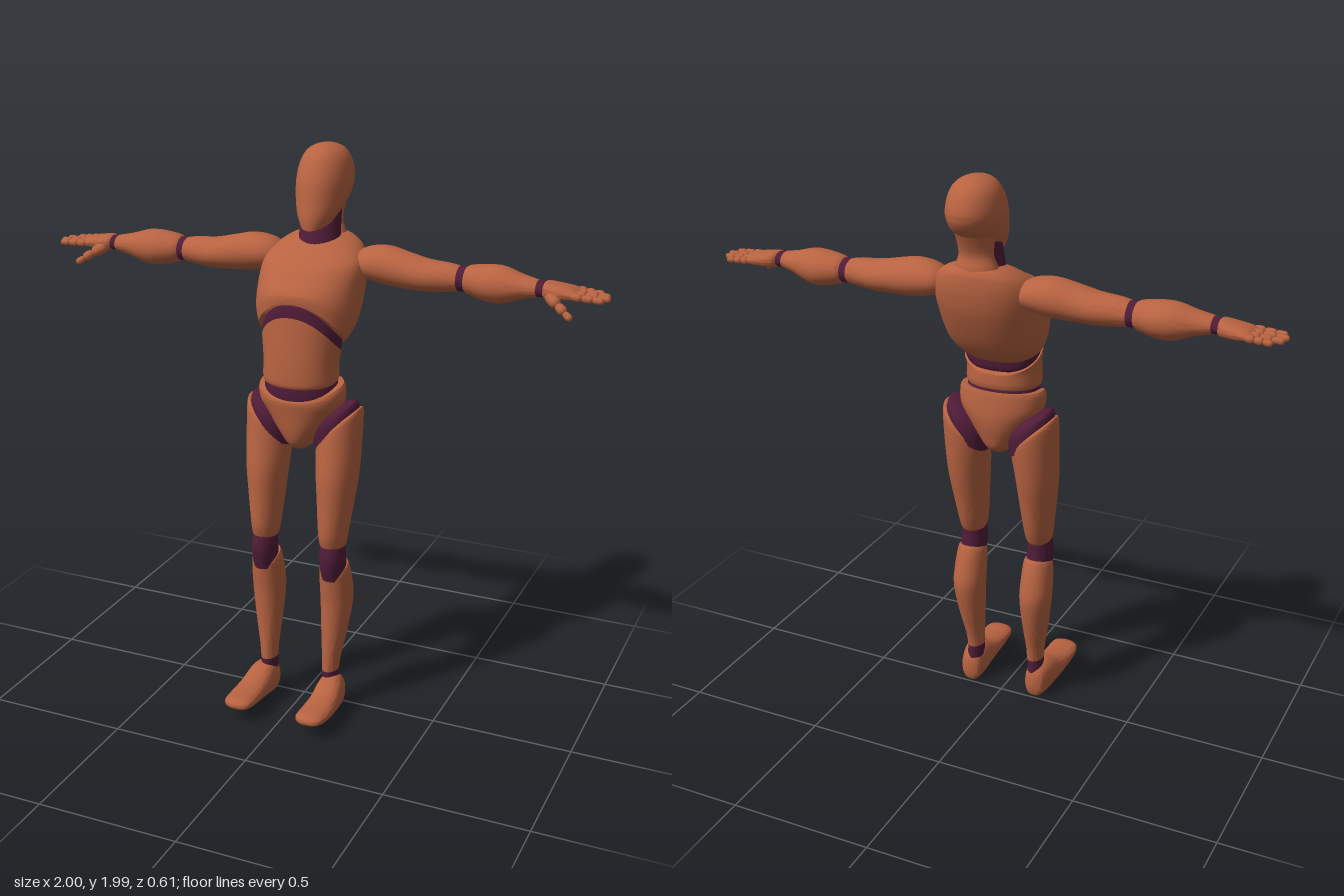
import * as THREE from 'three';
import { toCreasedNormals } from 'three/addons/utils/BufferGeometryUtils.js';

const wood = new THREE.MeshStandardMaterial({ color: 0xb86341 });
wood.name = 'warm brown';
const joint = new THREE.MeshStandardMaterial({ color: 0x501c38 });
joint.name = 'dark plum';

// Smooth loft along +y. Ring: [height, x, z, radiusX, radiusZ, slopeX, slopeZ, frontArch]
function loft(rings, power = 2, seg = 36, sub = 5) {
  const R = rings.map(r => Array.from({ length: 8 }, (_, k) => r[k] || 0));
  if (R[0][0] > R[R.length - 1][0]) R.reverse();
  const fine = [];
  for (let i = 0; i < R.length - 1; i++) {
    const a = R[Math.max(0, i - 1)], b = R[i], c = R[i + 1], d = R[Math.min(R.length - 1, i + 2)];
    for (let s = 0; s < sub; s++) {
      const t = s / sub;
      fine.push(b.map((v, k) => v + 0.5 * t * (c[k] - a[k]
        + t * (2 * a[k] - 5 * v + 4 * c[k] - d[k] + t * (3 * (v - c[k]) + d[k] - a[k])))));
    }
  }
  fine.push(R[R.length - 1]);

  const pos = [], idx = [];
  const round = v => Math.sign(v) * Math.pow(Math.abs(v), 2 / power);
  for (const [h, x, z, a, b, sx, sz, arch] of fine) {
    for (let j = 0; j < seg; j++) {
      const th = j / seg * Math.PI * 2;
      const p = a * round(Math.cos(th)), q = b * round(Math.sin(th));
      const front = Math.max(0, Math.sin(th));
      pos.push(x + p, h + sx * p + sz * q + arch * front * front, z + q);
    }
  }
  const last = fine.length - 1, base = fine.length * seg;
  for (const f of [fine[0], fine[last]]) pos.push(f[1], f[0], f[2]);
  for (let j = 0; j < seg; j++) {
    const k = (j + 1) % seg;
    for (let i = 0; i < last; i++) {
      const a = i * seg + j, b = a + seg, c = i * seg + k, d = c + seg;
      idx.push(a, b, c, b, d, c);
    }
    idx.push(base, j, k, base + 1, last * seg + k, last * seg + j);
  }
  const g = new THREE.BufferGeometry();
  g.setAttribute('position', new THREE.Float32BufferAttribute(pos, 3));
  g.setIndex(idx);
  return toCreasedNormals(g, 0.75);
}

// Loft along +x; rings are [x, y, z, radiusY, radiusZ]
const loftX = (rings, power) =>
  loft(rings.map(([x, y, z, ry, rz]) => [x, -y, z, ry, rz]), power).rotateZ(-Math.PI / 2);

// Loft along +z; rings are [z, x, bottom, top, radiusX]
const loftZ = (rings, power) =>
  loft(rings.map(([z, x, lo, hi, rx]) => [z, x, -(lo + hi) / 2, rx, (hi - lo) / 2]), power).rotateX(Math.PI / 2);

// Rounded finger segment between two points
function bead(from, to, r) {
  const a = new THREE.Vector3(...from), b = new THREE.Vector3(...to), d = b.clone().sub(a);
  const g = new THREE.CapsuleGeometry(r, Math.max(0.001, d.length() - 1.6 * r), 4, 10);
  g.applyQuaternion(new THREE.Quaternion().setFromUnitVectors(new THREE.Vector3(0, 1, 0), d.normalize()));
  g.translate((from[0] + to[0]) / 2, (from[1] + to[1]) / 2, (from[2] + to[2]) / 2);
  return g.toNonIndexed();
}

// Flip a part to the other side in x and restore the outward winding
function mirrored(geo) {
  const g = geo.clone().scale(-1, 1, 1);
  for (const name of ['position', 'normal']) {
    const arr = g.attributes[name].array;
    for (let i = 0; i < arr.length; i += 9)
      for (let k = 0; k < 3; k++) [arr[i + k], arr[i + 6 + k]] = [arr[i + 6 + k], arr[i + k]];
  }
  return g;
}

export function createModel() {
  const model = new THREE.Group();
  model.name = 'mannequin';
  const add = (name, geo, mat) => {
    const m = new THREE.Mesh(geo, mat);
    m.name = name;
    model.add(m);
  };
  const pair = (name, geo, mat) => {
    add(name + 'Left', geo, mat);
    add(name + 'Right', mirrored(geo), mat);
  };

  // Head and neck
  add('head', loft([
    [1.752, 0, -.125, .056, .098, 0, -.3], [1.785, 0, -.138, .074, .112, 0, -.2],
    [1.825, 0, -.16, .087, .125, 0, -.08], [1.88, 0, -.177, .092, .128],
    [1.935, 0, -.182, .082, .107], [1.968, 0, -.182, .062, .08],
    [1.985, 0, -.18, .034, .045], [1.991, 0, -.18, .004, .005]]), wood);
  add('neck', loft([[1.64, 0, -.125, .078, .074], [1.71, 0, -.132, .07, .066],
    [1.785, 0, -.15, .066, .064]]), joint);
  add('nape', loft([[1.64, 0, -.17, .09, .06], [1.69, 0, -.178, .075, .052],
    [1.74, 0, -.183, .06, .037], [1.81, 0, -.19, .068, .06]]), wood);

  // Torso
  add('chest', loft([
    [1.39, 0, .02, .152, .092, 0, .62, .06], [1.45, 0, -.02, .174, .13, 0, .4, .035],
    [1.545, 0, -.065, .18, .149, 0, .17], [1.61, 0, -.098, .176, .138, 0, .07],
    [1.655, 0, -.13, .15, .108, 0, -.05], [1.683, 0, -.145, .11, .084, 0, -.1],
    [1.695, 0, -.15, .07, .055, 0, -.1]], 2.3), wood);
  add('ribJoint', loft([[1.3, 0, .025, .118, .095], [1.365, 0, .02, .135, .094, 0, .6, .06],
    [1.42, 0, .01, .135, .09, 0, .6, .06]], 2.2), joint);
  add('abdomen', loft([
    [1.23, 0, .027, .126, .106, 0, -.06], [1.245, 0, .027, .13, .11, 0, -.04],
    [1.3, 0, .027, .129, .108, 0, .1], [1.35, 0, .023, .137, .1, 0, .6, .055]], 2.2), wood);
  add('waistJoint', loft([[1.14, 0, .02, .125, .098], [1.2, 0, .022, .127, .105],
    [1.25, 0, .024, .118, .1]], 2.2), joint);
  add('pelvis', loft([
    [.99, 0, .015, .03, .055], [1.015, 0, .012, .05, .085], [1.06, 0, .012, .084, .1],
    [1.11, 0, .011, .118, .109], [1.155, 0, .014, .147, .113],
    [1.2, 0, .018, .151, .11, 0, -.1, -.02], [1.218, 0, .018, .144, .106, 0, -.1, -.03]], 2.2), wood);

  // Legs
  pair('hipJoint', loft([[1.04, .122, -.004, .074, .088, .85], [1.095, .114, -.004, .075, .09, .8],
    [1.118, .108, -.004, .06, .072, .7], [1.128, .1, -.004, .03, .04, .6]]), joint);
  pair('thigh', loft([
    [1.08, .127, -.005, .072, .084, .85], [1.066, .129, -.005, .079, .092, .8],
    [1, .13, .002, .078, .094, .4], [.9, .131, .016, .072, .094], [.8, .13, .028, .062, .084],
    [.7, .128, .041, .051, .072], [.655, .128, .045, .046, .059], [.64, .128, .046, .04, .052]]), wood);
  pair('kneeJoint', loft([[.67, .128, .046, .038, .05], [.6, .13, .053, .045, .058],
    [.52, .13, .04, .042, .055]]), joint);
  pair('shin', loft([
    [.565, .13, .038, .047, .052, 0, -.3], [.548, .13, .034, .052, .059, 0, -.25],
    [.49, .131, .021, .056, .068], [.42, .131, .012, .056, .07], [.31, .127, .022, .046, .058],
    [.21, .122, .036, .033, .045], [.155, .12, .041, .029, .041]]), wood);
  pair('ankleJoint', loft([[.1, .122, .04, .029, .04], [.16, .12, .041, .028, .04]]), joint);
  pair('foot', loftZ([
    [-.004, .128, .03, .09, .016], [.008, .129, .006, .118, .035], [.05, .131, .004, .136, .046],
    [.09, .134, .012, .132, .05], [.15, .137, .025, .107, .052], [.22, .138, .04, .096, .054],
    [.275, .137, .052, .094, .05], [.298, .136, .06, .087, .035], [.305, .135, .068, .079, .012]], 2.4), wood);

  // Arms
  pair('upperArm', loftX([
    [.135, 1.612, -.13, .02, .025], [.15, 1.612, -.13, .042, .055], [.19, 1.614, -.128, .057, .071],
    [.25, 1.611, -.126, .065, .074], [.32, 1.602, -.12, .06, .07], [.39, 1.594, -.118, .053, .067],
    [.46, 1.594, -.118, .048, .054], [.498, 1.594, -.119, .041, .048]]), wood);
  pair('elbowJoint', loftX([[.48, 1.594, -.12, .038, .044], [.512, 1.594, -.121, .042, .046],
    [.545, 1.594, -.121, .038, .044]]), joint);
  pair('forearm', loftX([
    [.522, 1.594, -.121, .041, .046], [.54, 1.593, -.121, .05, .055], [.6, 1.59, -.119, .061, .068],
    [.65, 1.59, -.116, .06, .065], [.71, 1.592, -.11, .041, .05], [.765, 1.593, -.105, .028, .039]]), wood);
  pair('wristJoint', loftX([[.75, 1.593, -.106, .026, .034], [.81, 1.592, -.108, .026, .035]]), joint);
  pair('palm', loftX([
    [.788, 1.592, -.108, .026, .036], [.8, 1.592, -.11, .028, .045], [.84, 1.59, -.114, .024, .053],
    [.88, 1.588, -.116, .018, .055], [.897, 1.587, -.116, .01, .05]], 2.4), wood);

  // Fingers, index first
  const names = ['index', 'middle', 'ring', 'little'];
  [.985, .999, .992, .965].forEach((tip, f) => {
    const z = -.07 - .031 * f, start = .882, step = (tip - start) / 3;
    for (let s = 0; s < 3; s++)
      pair(names[f] + 'Finger' + s, bead([start + s * step, 1.588 - .002 * s, z],
        [start + (s + 1) * step, 1.586 - .002 * s, z], .0135 - .0012 * s), wood);
  });

  // Thumb
  const thumb = [[.805, 1.583, -.08], [.845, 1.56, -.052], [.872, 1.542, -.036], [.896, 1.526, -.024]];
  for (let s = 0; s < 3; s++) pair('thumb' + s, bead(thumb[s], thumb[s + 1], .02 - .004 * s), wood);

  return model;
}
